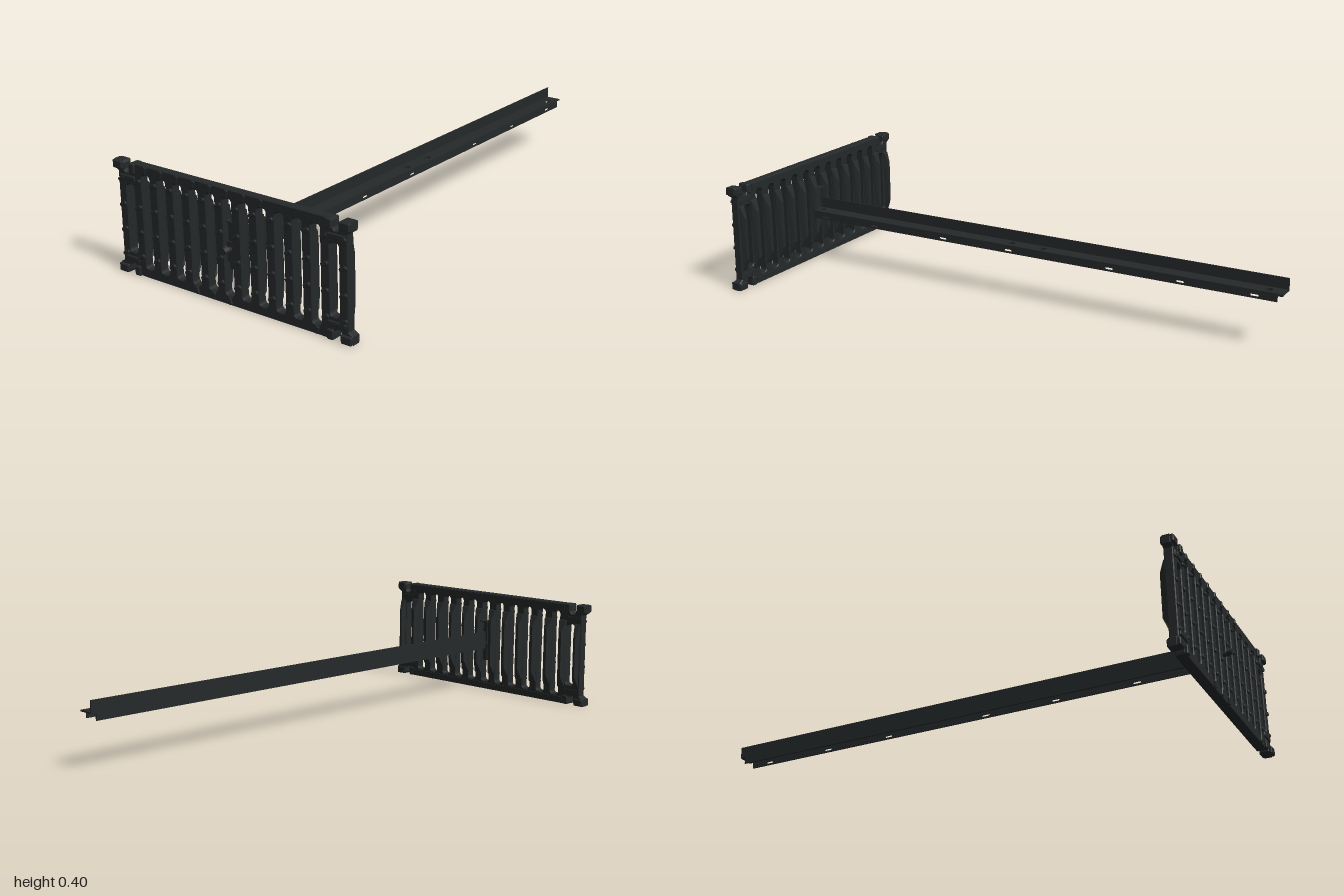
import * as THREE from 'three';

const PITCH = 0.0705, MID = 0.1975;
const material = new THREE.MeshStandardMaterial({ color: 0x25292a });

// Rounded rectangle path, used for plates and slots
function rounded(x0, y0, x1, y1, r, Type = THREE.Shape) {
  const p = new Type();
  p.moveTo(x0 + r, y0);
  p.lineTo(x1 - r, y0);
  p.absarc(x1 - r, y0 + r, r, -Math.PI / 2, 0);
  p.absarc(x1 - r, y1 - r, r, 0, Math.PI / 2);
  p.absarc(x0 + r, y1 - r, r, Math.PI / 2, Math.PI);
  p.absarc(x0 + r, y0 + r, r, Math.PI, Math.PI * 1.5);
  return p;
}

function extrude(shape, depth, bevel = 0) {
  return new THREE.ExtrudeGeometry(shape, {
    depth: depth - 2 * bevel, curveSegments: 6, bevelEnabled: bevel > 0,
    bevelSize: bevel, bevelThickness: bevel, bevelOffset: -bevel, bevelSegments: 1,
  }).translate(0, 0, bevel);
}

function add(parent, name, geometry, x = 0, y = 0, z = 0) {
  const mesh = new THREE.Mesh(geometry, material);
  mesh.name = name;
  mesh.position.set(x, y, z);
  parent.add(mesh);
  return mesh;
}

// Plate outline with an open bolt notch and a stepped ear at each corner
function plateShape() {
  const quarter = [
    [0.474, 0.158], [0.49, 0.168], [0.49, 0.1975], [0.452, 0.1975], [0.445, 0.19],
    [0.445, 0.169], [0.439, 0.16], [0.426, 0.16], [0.42, 0.169], [0.42, 0.19], [0.413, 0.1975],
  ];
  const points = [];
  [[1, 1], [-1, 1], [-1, -1], [1, -1]].forEach(([sx, sy]) => {
    const part = quarter.map(([x, y]) => new THREE.Vector2(sx * x, MID + sy * y));
    points.push(...(sx * sy > 0 ? part : part.reverse()));
  });
  const shape = new THREE.Shape(points);
  for (let i = -6; i <= 6; i++) {
    const half = Math.abs(i) === 6 ? 0.12 : 0.165;
    const x = i * PITCH;
    shape.holes.push(rounded(x - 0.0175, MID - half, x + 0.0175, MID + half, 0.012, THREE.Path));
  }
  return shape;
}

// Deepened bar behind the plate, narrowing towards its back edge
function ribGeometry(half, width) {
  const profile = new THREE.Shape([
    new THREE.Vector2(0.95, -half), new THREE.Vector2(0.95, half),
    new THREE.Vector2(0.938, half - 0.01), new THREE.Vector2(0.922, half - 0.05),
    new THREE.Vector2(0.922, 0.05 - half), new THREE.Vector2(0.938, 0.01 - half),
  ]);
  let g = new THREE.ExtrudeGeometry(profile, { depth: width, bevelEnabled: false });
  g.translate(0, 0, -width / 2).rotateY(-Math.PI / 2);
  // The profile's first axis now runs along z, its depth along x
  const p = g.attributes.position;
  for (let i = 0; i < p.count; i++) {
    if (p.getZ(i) < 0.93) p.setX(i, p.getX(i) * 0.4);
  }
  g.computeVertexNormals();
  return g;
}

function buildGrate() {
  const grate = new THREE.Group();
  grate.name = 'grate';
  add(grate, 'slottedPlate', extrude(plateShape(), 0.032, 0.003), 0, 0, 0.942);

  // Tapered ribs behind the bars
  const rib = ribGeometry(0.14, 0.033);
  for (let i = -6; i <= 5; i++) add(grate, 'barRib', rib, (i + 0.5) * PITCH, MID, 0);
  const sideRib = ribGeometry(0.13, 0.024);
  for (const s of [-1, 1]) add(grate, 'sideRib', sideRib, s * 0.457, MID, 0);

  // Raised borders and ears around the corner notches
  for (const sx of [-1, 1]) for (const sy of [-1, 1]) {
    const ear = extrude(rounded(-0.02, -0.014, 0.02, 0.014, 0.004), 0.046, 0.003);
    add(grate, 'cornerEar', ear, sx * 0.469, MID + sy * 0.183, 0.938);
    const pad = extrude(rounded(-0.012, -0.017, 0.012, 0.017, 0.004), 0.044, 0.003);
    add(grate, 'notchEdge', pad, sx * 0.407, MID + sy * 0.18, 0.938);
    const floor = extrude(rounded(-0.035, -0.009, 0.035, 0.009, 0.004), 0.038, 0.003);
    add(grate, 'notchFloor', floor, sx * 0.432, MID + sy * 0.143, 0.941);
  }
  for (const s of [-1, 1]) {
    add(grate, 'edgeRail', new THREE.BoxGeometry(0.79, 0.022, 0.012), 0, MID + s * 0.182, 0.943);
  }

  // Slanted anti-slip studs on the bars and along the long edges
  const stud = extrude(rounded(-0.015, -0.007, 0.015, 0.007, 0.006), 0.008, 0.002);
  for (let i = -7; i <= 6; i++) {
    const x = i === -7 ? -0.458 : i === 6 ? 0.458 : (i + 0.5) * PITCH;
    for (const y of [0.07, 0.155, 0.243, 0.333]) {
      add(grate, 'treadStud', stud, x, y, 0.972).rotation.z = 0.5;
    }
  }
  const edgeStud = extrude(rounded(-0.013, -0.007, 0.013, 0.007, 0.003), 0.007, 0.002);
  for (let i = -5; i <= 2; i++) {
    add(grate, 'edgeStud', edgeStud, i * PITCH, 0.38, 0.972).rotation.z = 1.25;
  }
  for (const [i, tilt] of [[-2, 1.9], [-1, 1.25], [0, 1.9], [5, 1.25]]) {
    add(grate, 'edgeStud', edgeStud, i * PITCH, 0.016, 0.972).rotation.z = tilt;
  }
  return grate;
}

function buildLatch() {
  const latch = new THREE.Group();
  latch.name = 'latch';
  add(latch, 'latchBar', extrude(rounded(-0.011, 0.12, 0.011, 0.28, 0.003), 0.02, 0.002), 0, 0, 0.94);
  add(latch, 'latchTip', new THREE.BoxGeometry(0.037, 0.004, 0.035), 0, 0.28, 0.945);
  add(latch, 'latchBlock', new THREE.BoxGeometry(0.027, 0.07, 0.02), 0, 0.18, 0.955);
  const bolt = new THREE.CylinderGeometry(0.009, 0.009, 0.05, 16).rotateX(Math.PI / 2);
  add(latch, 'latchBolt', bolt, 0, 0.19, 0.96);
  const head = new THREE.CylinderGeometry(0.011, 0.015, 0.016, 6).rotateX(Math.PI / 2);
  add(latch, 'boltHead', head, 0, 0.195, 0.992);
  return latch;
}

function buildRail() {
  const rail = new THREE.Group();
  rail.name = 'rail';
  const t = 0.005;
  // Tall side wall, longer above the web than below it
  add(rail, 'upperWall', new THREE.BoxGeometry(t, 0.043, 1.93), -0.0075, 0.2185, -0.035);
  add(rail, 'lowerWall', new THREE.BoxGeometry(t, 0.03, 1.91), -0.0075, 0.185, -0.025);

  // Horizontal web pierced by fixing holes
  const web = rounded(-0.01, -1, 0.05, 0.93, 0.001);
  for (const z of [-0.94, -0.08, 0.05, 0.91]) {
    web.holes.push(new THREE.Path().absarc(0.022, z, 0.013, 0, Math.PI * 2));
  }
  add(rail, 'web', extrude(web, t).rotateX(Math.PI / 2), 0, 0.2, 0);

  // Turned-down lip with small slots
  const lip = rounded(-0.98, 0.17, 0.93, 0.2, 0.001);
  for (const z of [-0.9, -0.63, -0.36, 0.05, 0.33, 0.64, 0.87]) {
    lip.holes.push(rounded(z - 0.015, 0.176, z + 0.015, 0.184, 0.003, THREE.Path));
  }
  add(rail, 'lip', extrude(lip, t).rotateY(-Math.PI / 2), 0.05, 0, 0);
  return rail;
}

export function createModel() {
  const model = new THREE.Group();
  model.name = 'grateWithRail';
  model.add(buildGrate(), buildLatch(), buildRail());
  return model;
}
